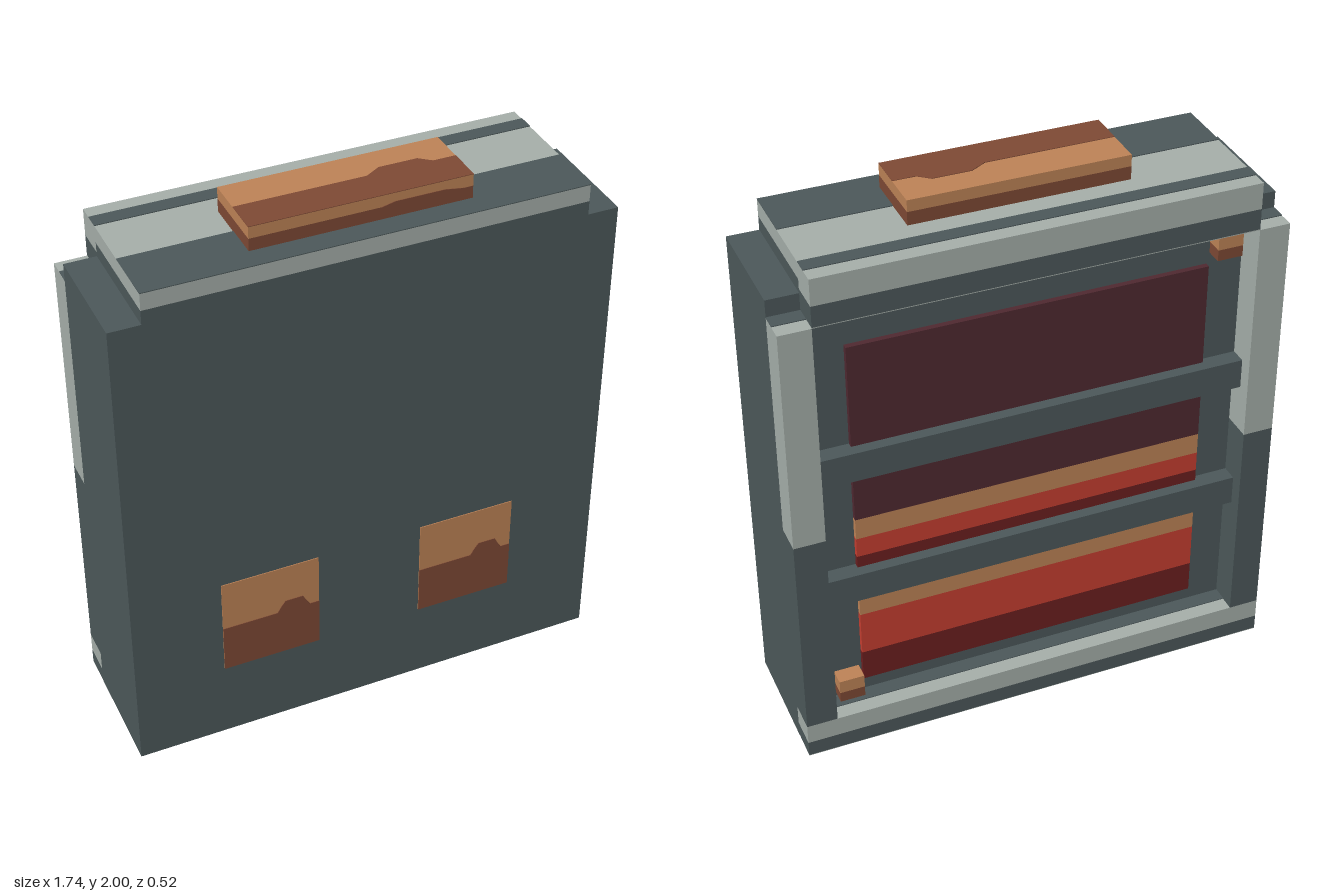
import * as THREE from 'three';

const mat = (name, color) => {
  const m = new THREE.MeshStandardMaterial({ color });
  m.name = name;
  return m;
};

export function createModel() {
  const slate = mat('slate', 0x4d595b);
  const pale = mat('pale grey', 0xa7b0ab);
  const copper = mat('copper', 0xbf8457);
  const brown = mat('brown', 0x7f4a35);
  const maroon = mat('maroon', 0x502931);
  const red = mat('red', 0xc73f31);
  const darkRed = mat('dark red', 0x6c1f20);

  const model = new THREE.Group();
  model.name = 'cabinet';

  // Box given by its limits on each axis
  const box = (name, m, [x0, x1], [y0, y1], [z0, z1]) => {
    const mesh = new THREE.Mesh(new THREE.BoxGeometry(x1 - x0, y1 - y0, z1 - z0), m);
    mesh.position.set((x0 + x1) / 2, (y0 + y1) / 2, (z0 + z1) / 2);
    mesh.name = name;
    model.add(mesh);
    return mesh;
  };
  // Thin extruded plate, facing +z
  const plate = (name, m, points, depth) => {
    const shape = new THREE.Shape(points.map(([x, y]) => new THREE.Vector2(x, y)));
    const mesh = new THREE.Mesh(new THREE.ExtrudeGeometry(shape, { depth, bevelEnabled: false }), m);
    mesh.name = name;
    model.add(mesh);
    return mesh;
  };

  const full = [-0.87, 0.87], inner = [-0.76, 0.76];
  const rearZ = [-0.26, -0.15], outerZ = [-0.26, -0.205], innerZ = [-0.205, -0.15];

  // Main body
  box('body', slate, full, [0, 1.8], [-0.15, 0.26]);

  // Top cap: dark lower band, pale upper band, dark front half on top
  box('capBase', slate, inner, [1.8, 1.85], [-0.15, 0.26]);
  box('capTop', pale, inner, [1.85, 1.91], [-0.15, 0.26]);
  box('capTopFront', slate, inner, [1.91, 1.913], [0.055, 0.26]);

  // Rear top rail
  box('topRailBase', slate, inner, [1.74, 1.815], rearZ);
  box('topRail', pale, inner, [1.815, 1.91], rearZ);
  box('topRailStripe', slate, inner, [1.91, 1.913], innerZ);
  box('topRailUnderside', pale, inner, [1.737, 1.74], outerZ);

  // Rear bottom rail
  box('bottomRailBase', slate, full, [0.002, 0.06], rearZ);
  box('bottomRail', pale, full, [0.06, 0.135], rearZ);
  box('bottomRailStripe', slate, inner, [0.135, 0.138], innerZ);
  box('bottomRailUnderside', pale, full, [0, 0.002], outerZ);

  // Rear posts
  for (const s of [-1, 1]) {
    const xs = s > 0 ? [0.76, 0.87] : [-0.87, -0.76];
    box('postLower', slate, xs, [0.135, 0.92], rearZ);
    box('postUpper', pale, xs, [0.92, 1.737], rearZ);
    box('postTopStripe', slate, xs, [1.737, 1.74], innerZ);
  }

  // Glowing rear panel in horizontal bands
  const bands = [
    [0.2, 0.32, darkRed], [0.32, 0.49, red], [0.49, 0.65, copper],
    [0.65, 0.745, darkRed], [0.745, 0.82, red], [0.82, 0.9, copper], [0.9, 1.58, maroon],
  ];
  for (const [y0, y1, m] of bands) box('panelBand', m, [-0.63, 0.63], [y0, y1], [-0.17, -0.15]);

  // Cross bars over the panel
  for (const y of [0.59, 1.09]) box('crossBar', slate, inner, [y, y + 0.11], [-0.21, -0.15]);

  // Small knobs in opposite corners
  for (const [x, y] of [[0.64, 0.16], [-0.73, 1.62]]) {
    box('knobBottom', brown, [x, x + 0.09], [y, y + 0.04], [-0.21, -0.15]);
    box('knobTop', copper, [x, x + 0.09], [y + 0.04, y + 0.09], [-0.21, -0.15]);
  }

  // Front plates: copper with a stepped brown lower part
  for (const x of [-0.548, 0.19]) {
    box('frontPlate', copper, [x, x + 0.355], [0.3, 0.68], [0.26, 0.263]);
    plate('frontPlateLower', brown, [
      [0, 0.3], [0.355, 0.3], [0.355, 0.485], [0.32, 0.485], [0.305, 0.51], [0.295, 0.53],
      [0.23, 0.53], [0.215, 0.51], [0.2, 0.485], [0, 0.485],
    ], 0.002).position.set(x, 0, 0.263);
  }

  // Handle block on the top
  const hx = [-0.38, 0.38];
  box('handleBase', brown, hx, [1.91, 1.957], [-0.075, 0.18]);
  box('handleTop', copper, hx, [1.957, 1.998], [-0.075, 0.18]);
  const top = plate('handleTopFront', brown, [
    [-0.38, -0.18], [0.38, -0.18], [0.38, -0.055], [0.3, -0.055],
    [0.26, -0.022], [0.125, -0.022], [0.07, -0.055], [-0.38, -0.055],
  ], 0.002);
  top.rotation.x = -Math.PI / 2;
  top.position.y = 1.998;
  plate('handleFrontWave', brown, [
    [0.06, 1.957], [0.35, 1.957], [0.28, 1.968], [0.11, 1.968],
  ], 0.002).position.z = 0.18;

  return model;
}
